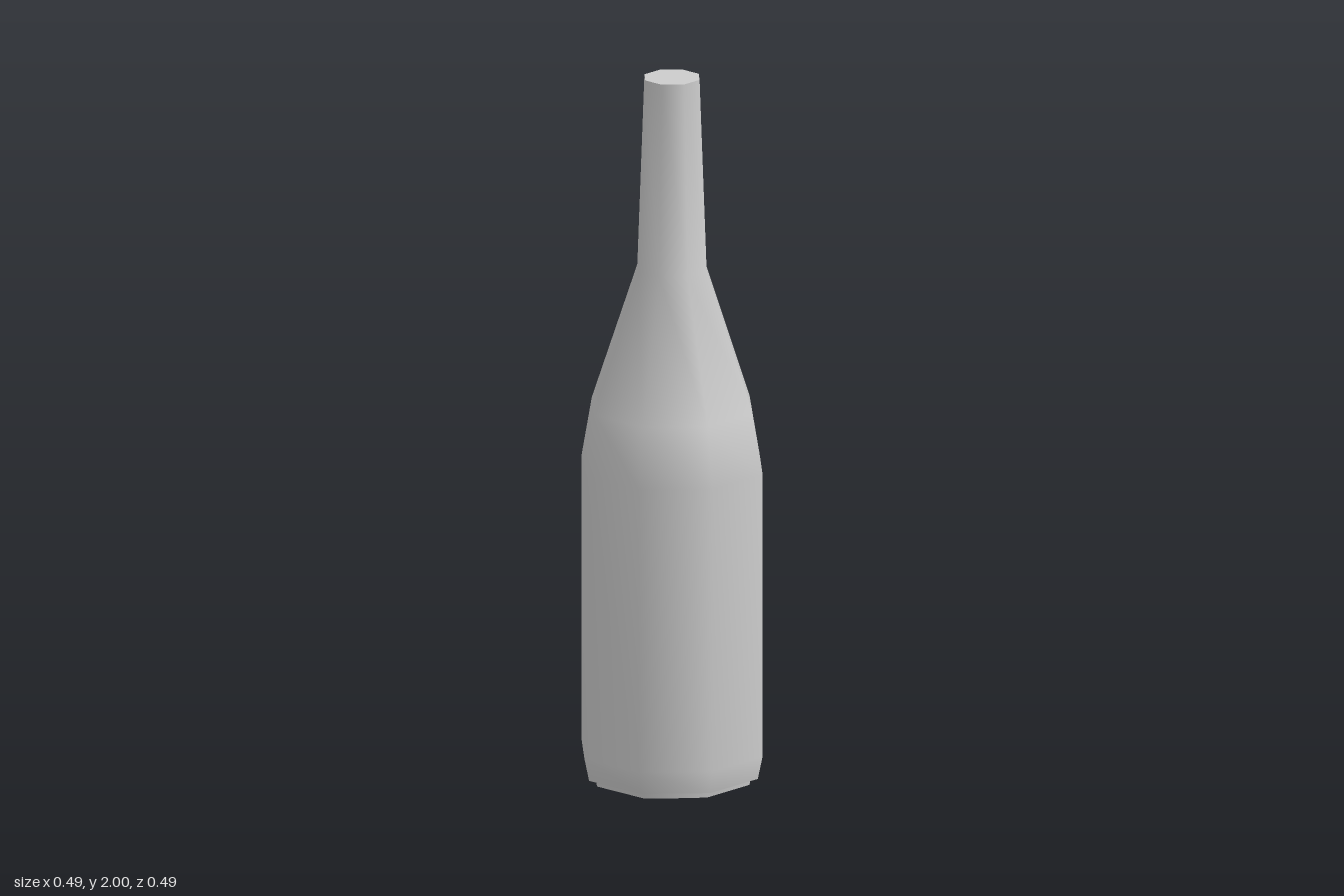
import * as THREE from 'three';

const SIDES = 8;
const glass = new THREE.MeshStandardMaterial({ color: 0xcccccc });
glass.name = 'pale grey';

// Eight-sided lathe with flats facing the axes; radii are measured to the flats
function turned(name, profile) {
  const k = 1 / Math.cos(Math.PI / SIDES);
  const points = profile.map(([r, y]) => new THREE.Vector2(r * k, y));
  const mesh = new THREE.Mesh(new THREE.LatheGeometry(points, SIDES, Math.PI / SIDES), glass);
  mesh.name = name;
  return mesh;
}

export function createModel() {
  const bottle = new THREE.Group();
  bottle.name = 'bottle';
  bottle.add(
    // smooth wall from the heel through the shoulder to the neck
    turned('bodyAndNeck', [
      [0.23, 0.035], [0.243, 0.1], [0.243, 0.9], [0.215, 1.07], [0.093, 1.46], [0.074, 2],
    ]),
    turned('mouthCap', [[0.074, 2], [0, 2]]),
    // stepped base
    turned('heelUnderside', [[0.21, 0.03], [0.23, 0.035]]),
    turned('baseRim', [[0.208, 0.016], [0.21, 0.03]]),
    turned('baseUnderside', [[0.155, 0.012], [0.208, 0.016]]),
    turned('footRim', [[0.155, 0], [0.155, 0.012]]),
    turned('footDisc', [[0, 0], [0.155, 0]]),
  );
  return bottle;
}
